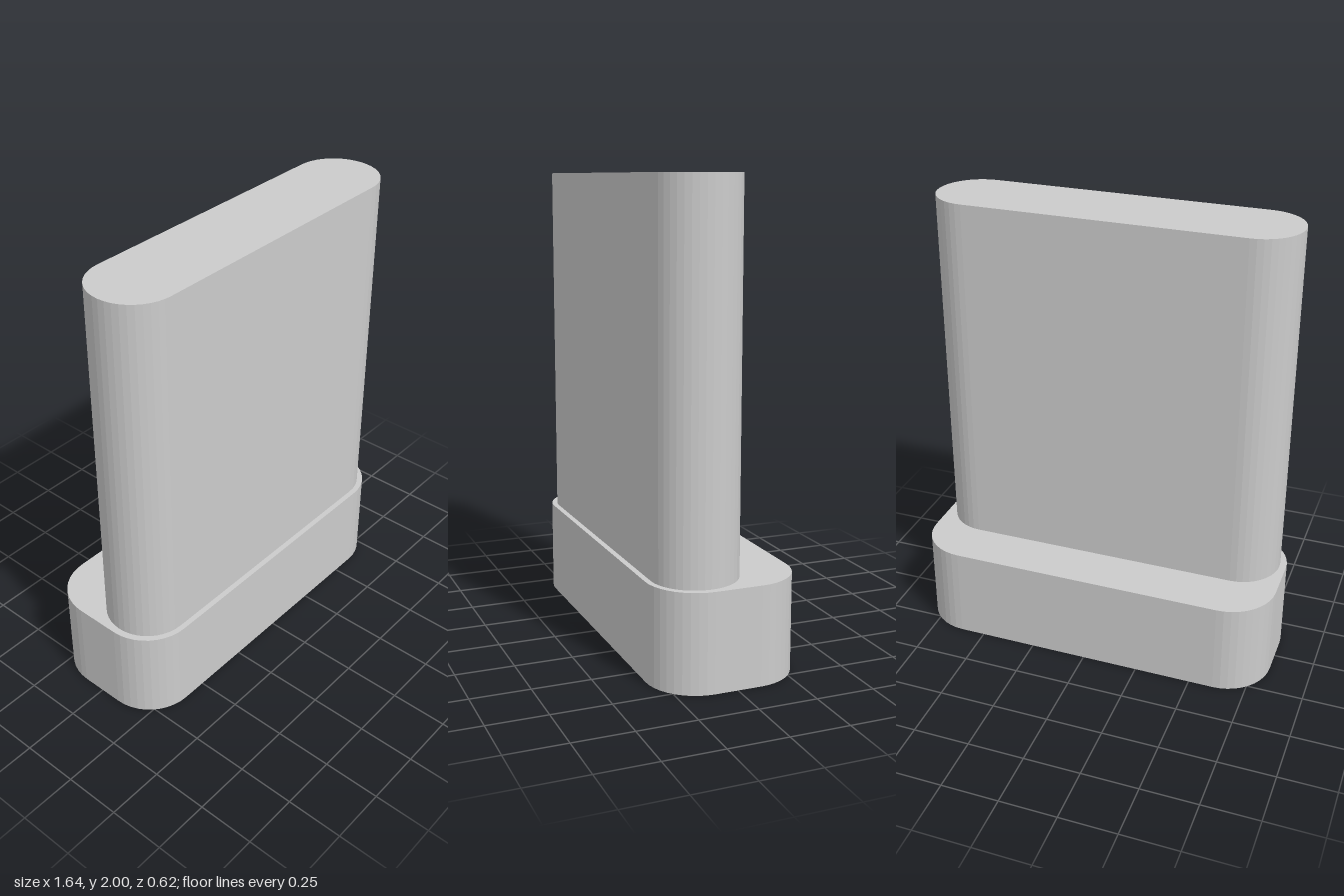
import * as THREE from 'three';

const material = (color) => new THREE.MeshStandardMaterial({ color, flatShading: true });

// Rounded rectangle outline from half width, half depth and corner radius
function roundedOutline(w, d, r) {
  const s = new THREE.Shape();
  const q = Math.PI / 2;
  s.absarc(w - r, d - r, r, 0, q);
  s.absarc(r - w, d - r, r, q, 2 * q);
  s.absarc(r - w, r - d, r, 2 * q, 3 * q);
  s.absarc(w - r, r - d, r, 3 * q, 4 * q);
  s.closePath();
  return s;
}

// Circular hole, finely divided while the outline corners stay faceted
function cutCircle(shape, x, r) {
  const points = [];
  for (let i = 0; i < 32; i++) {
    const a = (i / 32) * Math.PI * 2;
    points.push(new THREE.Vector2(x + r * Math.cos(a), -r * Math.sin(a)));
  }
  shape.holes.push(new THREE.Path(points));
}

// Upright prism standing on y0
function prism(name, shape, y0, height, color) {
  const geometry = new THREE.ExtrudeGeometry(shape, { depth: height, bevelEnabled: false, curveSegments: 5 });
  geometry.rotateX(-Math.PI / 2);
  const mesh = new THREE.Mesh(geometry, material(color));
  mesh.name = name;
  mesh.position.y = y0;
  return mesh;
}

export function createModel() {
  const group = new THREE.Group();
  const W = 0.82, D = 0.31, R = 0.21, recess = 0.02;
  const windows = [
    { name: 'smallWindow', x: 0, r: 0.14, color: 0x505050 },
    { name: 'largeWindow', x: -0.5, r: 0.187, color: 0xcccccc },
  ];

  // Wide foot
  group.add(prism('base', roundedOutline(W, D, R), recess, 0.42 - recess, 0xcccccc));

  // Lower rim of the foot and the dark underside plate, pierced by both windows
  const rim = roundedOutline(W, D, R);
  const plate = roundedOutline(W - 0.003, D - 0.003, R - 0.003);
  for (const { x, r } of windows) {
    cutCircle(rim, x, r);
    cutCircle(plate, x, r);
  }
  group.add(prism('baseRim', rim, 0.002, recess - 0.002, 0xcccccc));
  group.add(prism('undersidePlate', plate, 0, 0.003, 0x222222));

  // Round windows set into the underside
  for (const { name, x, r, color } of windows) {
    const window = new THREE.Mesh(new THREE.CylinderGeometry(r, r, 0.004, 32), material(color));
    window.name = name;
    window.position.set(x, recess - 0.002, 0);
    group.add(window);
  }

  // Tall slab with round ends, set towards the front
  const body = prism('body', roundedOutline(0.79, 0.183, 0.182), 0.42, 1.58, 0xcccccc);
  body.position.z = 0.103;
  group.add(body);

  return group;
}
